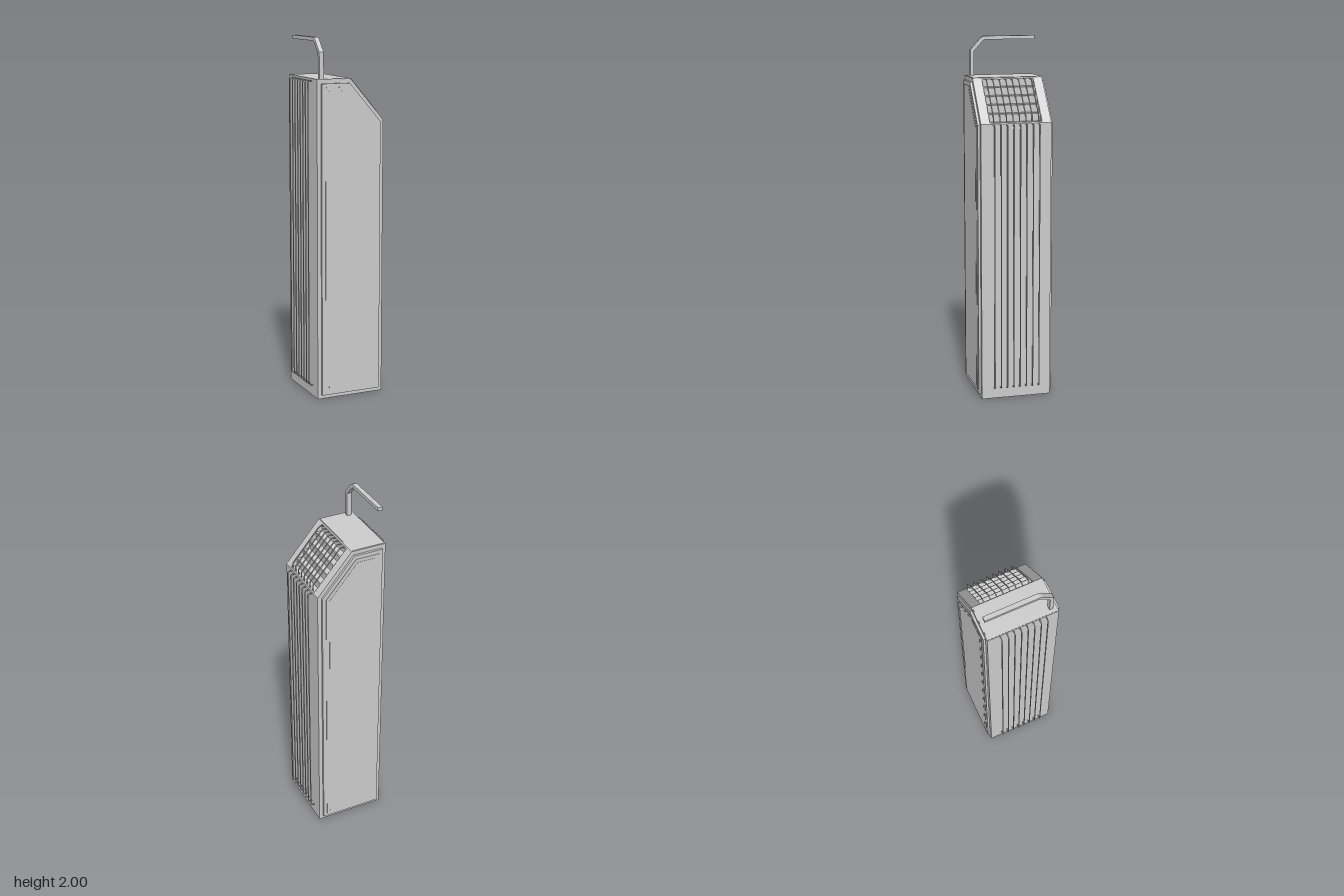
import * as THREE from 'three';

const HALF = 0.197, TOP = 1.78, SHOULDER = 1.55;
const GRILLE_Z = 0.146; // half depth of the grille opening
const V = (x, y) => new THREE.Vector2(x, y);

export function createModel() {
  const group = new THREE.Group();
  const material = new THREE.MeshStandardMaterial({ color: 0xcccccc, flatShading: true });

  const add = (name, geometry, z = 0) => {
    const mesh = new THREE.Mesh(geometry, material);
    mesh.name = name;
    mesh.position.z = z;
    group.add(mesh);
    return mesh;
  };

  // Extrudes an outline along z, centred on z = 0
  const slab = (points, depth) => new THREE.ExtrudeGeometry(new THREE.Shape(points),
    { depth, bevelEnabled: false }).translate(0, 0, -depth / 2);

  // Cabinet outline with its sloped corner, shrunk evenly by d
  const slope = V(HALF, SHOULDER - TOP);
  const len = slope.length(), nx = -slope.y / len, ny = slope.x / len;
  const outline = (d) => [
    V(-HALF + d, d), V(HALF - d, d),
    V(HALF - d, SHOULDER - (d - nx * d) / ny),
    V(-(d - ny * d) / nx, TOP - d),
    V(-HALF + d, TOP - d),
  ];

  // Flat bar following a 2D path with mitred corners
  const bar = (path, thickness, depth) => {
    const sides = [[], []];
    path.forEach((p, i) => {
      const normal = (a, b) => V(a.y - b.y, b.x - a.x).normalize();
      const n1 = normal(path[Math.max(i - 1, 0)], path[Math.max(i, 1)]);
      const n2 = normal(path[Math.min(i, path.length - 2)], path[Math.min(i + 1, path.length - 1)]);
      const offset = n1.clone().add(n2).multiplyScalar(thickness / 2 / (1 + n1.dot(n2)));
      sides[0].push(p.clone().add(offset));
      sides[1].unshift(p.clone().sub(offset));
    });
    return slab([...sides[0], ...sides[1]], depth);
  };

  // Cabinet: plain ends, with a stepped louvre cut into the middle of the slope
  const endDepth = HALF - GRILLE_Z;
  for (const s of [1, -1]) {
    add('cabinetEnd', slab(outline(0), endDepth), s * (GRILLE_Z + endDepth / 2));
  }
  const slopeY = (x) => TOP + x * slope.y / HALF;
  const stepped = [V(-HALF, 0), V(HALF, 0), V(HALF, SHOULDER)];
  const pitch = 0.038;
  for (let i = 4; i >= 0; i--) {
    const x0 = 0.005 + i * pitch, x1 = x0 + pitch - 0.003;
    stepped.push(V(x1, slopeY(x1)), V(x0, slopeY(x1)), V(x0, slopeY(x0)));
  }
  stepped.push(V(0, TOP), V(-HALF, TOP));
  add('louvredCabinet', slab(stepped, GRILLE_Z * 2));

  // Thin lid on the flat top
  add('topPlate', new THREE.BoxGeometry(HALF - 0.006, 0.003, HALF * 2 - 0.01))
    .position.set(-HALF / 2, TOP + 0.0005, 0);

  // Stepped panels on the front and back
  for (const s of [1, -1]) {
    [[0.022, 0.210], [0.043, 0.2125], [0.062, 0.2135]].forEach(([inset, reach]) => {
      const depth = reach - 0.19;
      add(s > 0 ? 'frontPanel' : 'backPanel', slab(outline(inset), depth), s * (reach - depth / 2));
    });
  }

  // Guard wires on both sides and over the louvre
  const staple = (s, top) => [
    V(s * 0.19, 0.063), V(s * 0.212, 0.063), V(s * 0.22, 0.071),
    V(s * 0.22, top - 0.008), V(s * 0.212, top), V(s * 0.19, top),
  ];
  const paths = {
    leftWire: staple(1, 1.543),
    rightWire: staple(-1, 1.768),
    louvreWire: [V(0.004, 1.772), V(0.028, 1.774), V(0.036, 1.768),
      V(0.187, 1.592), V(0.19, 1.583), V(0.189, 1.556)],
  };
  for (const [name, path] of Object.entries(paths)) {
    const geometry = bar(path, 0.005, 0.005);
    for (let i = 0; i < 8; i++) add(name, geometry, (i - 3.5) * 0.0362);
  }

  // Bent arm above the top, drawn in the z-y plane
  const arm = [V(0.165, 1.77), V(0.165, 1.92), V(0.108, 1.983), V(0.094, 1.99), V(-HALF, 1.99)];
  add('overheadArm', bar(arm, 0.02, 0.026).rotateY(-Math.PI / 2)).position.x = -0.161;

  return group;
}
